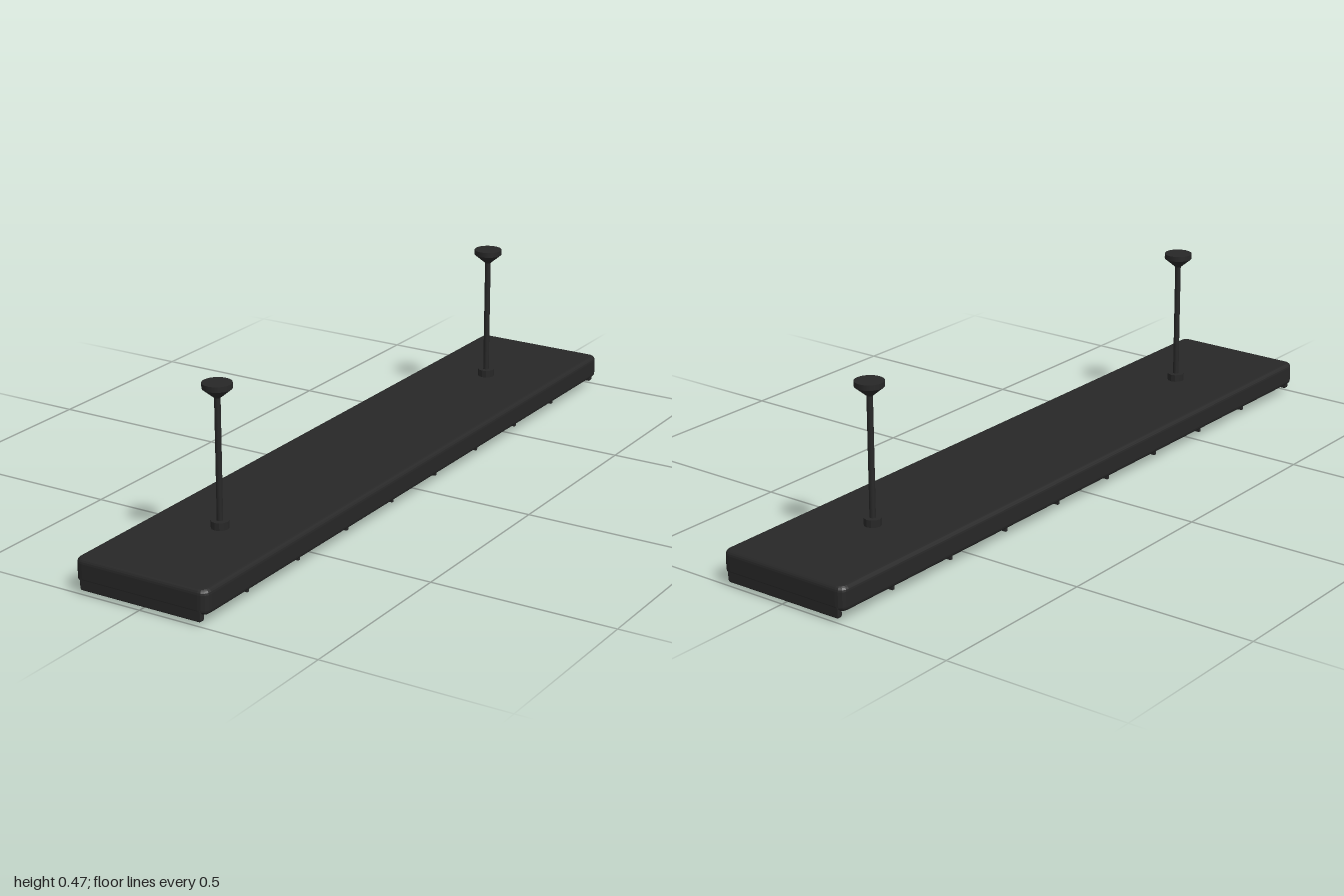
import * as THREE from 'three';

const black = new THREE.MeshStandardMaterial({ color: 0x272727 });
black.name = 'matte black';
const cream = new THREE.MeshStandardMaterial({ color: 0xd8cdb3 });
cream.name = 'warm diffuser';

// Rectangle with rounded corners, centred on the origin
function roundedRect(w, d, r) {
  const x = w / 2, y = d / 2, s = new THREE.Shape();
  s.moveTo(-x + r, -y);
  s.lineTo(x - r, -y);
  s.quadraticCurveTo(x, -y, x, -y + r);
  s.lineTo(x, y - r);
  s.quadraticCurveTo(x, y, x - r, y);
  s.lineTo(-x + r, y);
  s.quadraticCurveTo(-x, y, -x, y - r);
  s.lineTo(-x, -y + r);
  s.quadraticCurveTo(-x, -y, -x + r, -y);
  return s;
}

// Slab with rounded corners and softened edges, centred on the origin, thickness along z
function softSlab(w, h, thickness, radius, bevel) {
  const slab = new THREE.ExtrudeGeometry(roundedRect(w - 2 * bevel, h - 2 * bevel, radius), {
    depth: thickness - 2 * bevel, bevelEnabled: true, bevelSize: bevel,
    bevelThickness: bevel, bevelSegments: 4, curveSegments: 4
  });
  return slab.translate(0, 0, bevel - thickness / 2);
}

export function createModel() {
  const model = new THREE.Group();
  model.name = 'pendantLight';

  function add(name, geometry, material, x, y, z, parent = model) {
    const mesh = new THREE.Mesh(geometry, material);
    mesh.name = name;
    mesh.position.set(x, y, z);
    parent.add(mesh);
  }

  // Long housing with softened edges
  const housing = softSlab(0.384, 2, 0.065, 0.012, 0.013).rotateX(-Math.PI / 2);
  add('housing', housing, black, 0, 0.0597, 0);

  // Lips hanging at both ends
  const lip = softSlab(0.354, 0.036, 0.015, 0.004, 0.004);
  for (const z of [-0.992, 0.992]) add('endLip', lip, black, 0, 0.028, z);

  // Light panel and the ribs dividing it
  add('diffuser', new THREE.BoxGeometry(0.31, 0.016, 1.93), cream, 0, 0.02, 0);
  const rib = new THREE.BoxGeometry(0.316, 0.03, 0.008);
  for (let i = 0; i < 8; i++) add('dividerRib', rib, black, 0, 0.0155, (i - 3.5) * 0.2225);

  // Two hanging stems with collars and ceiling canopies
  const collar = new THREE.CylinderGeometry(0.023, 0.023, 0.022, 12).toNonIndexed();
  collar.computeVertexNormals();
  const rod = new THREE.CylinderGeometry(0.008, 0.008, 0.35, 16);
  const cone = new THREE.CylinderGeometry(0.038, 0.008, 0.025, 24);
  const rim = new THREE.CylinderGeometry(0.038, 0.038, 0.014, 24);
  for (const z of [-0.667, 0.667]) {
    const stem = new THREE.Group();
    stem.name = 'stem';
    stem.position.z = z;
    add('collar', collar, black, 0, 0.101, 0, stem);
    add('rod', rod, black, 0, 0.265, 0, stem);
    add('canopyCone', cone, black, 0, 0.4425, 0, stem);
    add('canopyRim', rim, black, 0, 0.462, 0, stem);
    model.add(stem);
  }
  return model;
}
